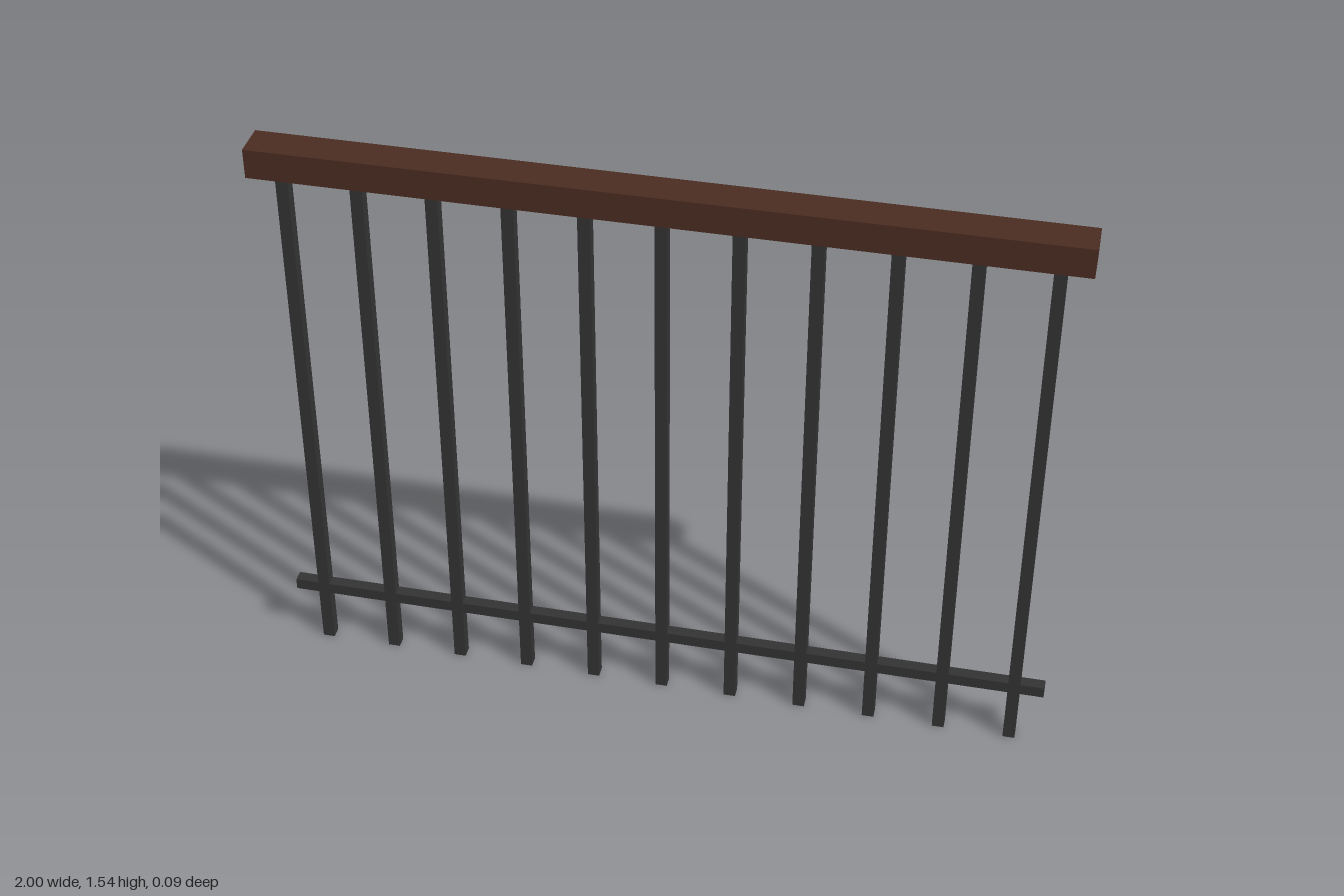
import * as THREE from 'three';

export function createModel() {
  const model = new THREE.Group();
  model.name = 'railing';

  const wood = new THREE.MeshStandardMaterial({ color: 0x4a2d22 });
  wood.name = 'dark wood';
  const metal = new THREE.MeshStandardMaterial({ color: 0x333334 });
  metal.name = 'dark metal';

  const box = (name, parent, material, size, position) => {
    const mesh = new THREE.Mesh(new THREE.BoxGeometry(...size), material);
    mesh.name = name;
    mesh.position.set(...position);
    parent.add(mesh);
    return mesh;
  };

  const bar = 0.0308;
  const railBottom = 1.4615;

  // Wooden handrail and thin metal bottom rail
  box('handrail', model, wood, [2, 0.0769, 0.0923], [0, railBottom + 0.0769 / 2, 0]);
  box('bottomRail', model, metal, [2, bar, bar], [0, 0.171, 0]);

  // Evenly spaced square balusters
  const balusters = new THREE.Group();
  balusters.name = 'balusters';
  model.add(balusters);
  const count = 11;
  const spacing = 0.1846;
  for (let i = 0; i < count; i++) {
    const x = (i - (count - 1) / 2) * spacing;
    box(`baluster${i + 1}`, balusters, metal, [bar, railBottom, bar], [x, railBottom / 2, 0]);
  }

  return model;
}
